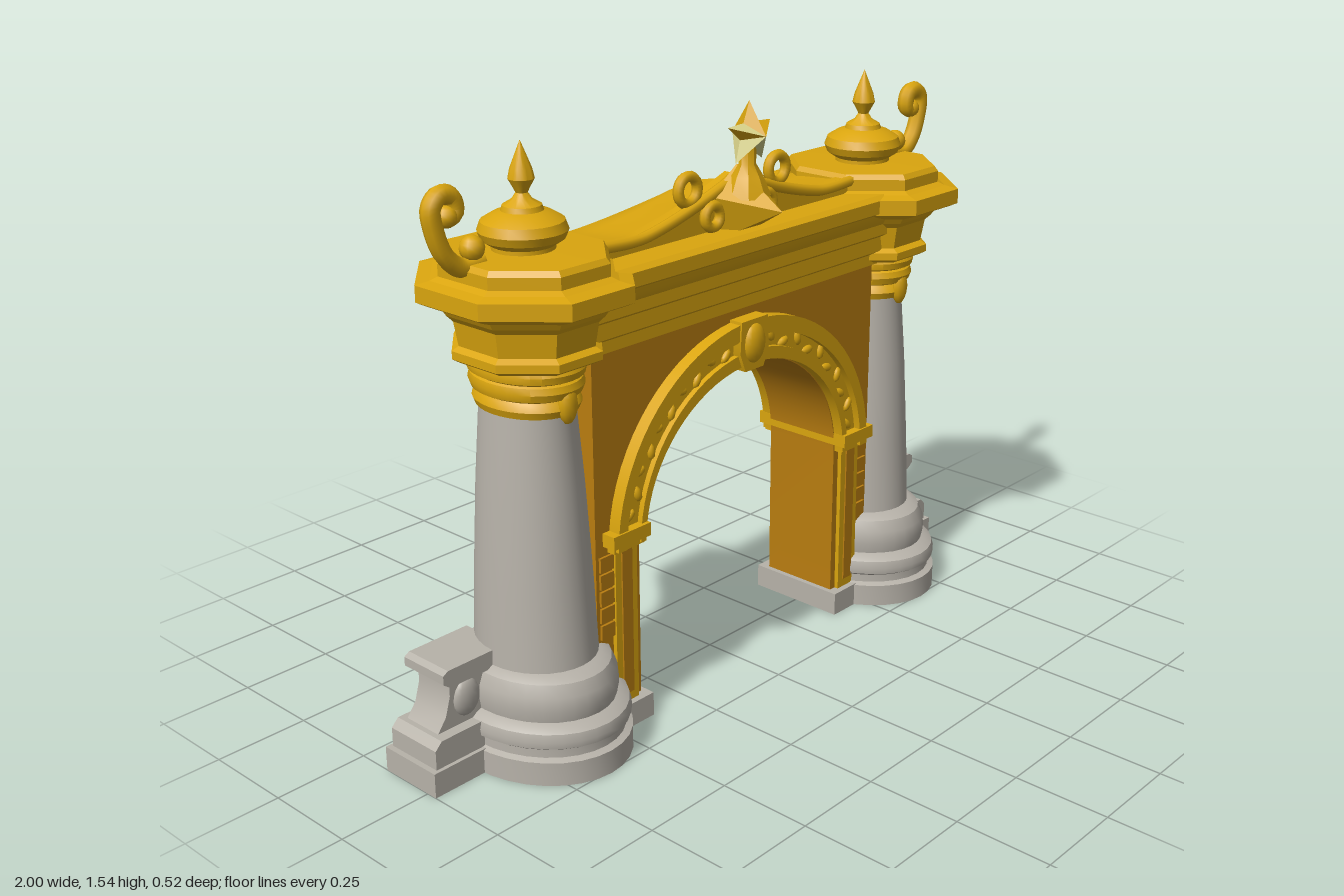
import * as THREE from 'three';
import { toCreasedNormals } from 'three/addons/utils/BufferGeometryUtils.js';

const material = (name, color) => {
  const m = new THREE.MeshStandardMaterial({ color });
  m.name = name;
  return m;
};
const V = (x, y, z = 0) => new THREE.Vector3(x, y, z);

export function createModel() {
  const root = new THREE.Group();
  root.name = 'archGate';
  const gold = material('gold', 0xdaa50e);
  const amber = material('amber', 0xb97d10);
  const stone = material('stone', 0xb7b2a9);
  const pale = material('paleYellow', 0xdcd68c);

  const add = (name, geo, mat, x = 0, y = 0, z = 0) => {
    const mesh = new THREE.Mesh(geo, mat);
    mesh.name = name;
    mesh.position.set(x, y, z);
    root.add(mesh);
    return mesh;
  };
  const box = (name, mat, x0, x1, y0, y1, z0, z1) =>
    add(name, new THREE.BoxGeometry(Math.abs(x1 - x0), y1 - y0, z1 - z0), mat,
      (x0 + x1) / 2, (y0 + y1) / 2, (z0 + z1) / 2);
  const lathe = (pts, seg, squash = 1, crease = 0.6, phi = 0) => {
    const g = new THREE.LatheGeometry(pts.map(p => new THREE.Vector2(...p)), seg, phi);
    g.scale(squash, 1, 1);
    return toCreasedNormals(g, crease);
  };
  // Extrusion centred on z = 0
  const slab = (pts, depth) => {
    const shape = new THREE.Shape(pts.map(p => new THREE.Vector2(...p)));
    const g = new THREE.ExtrudeGeometry(shape, { depth, bevelEnabled: false });
    g.translate(0, 0, -depth / 2);
    return toCreasedNormals(g, 0.5);
  };
  const tube = (pts, r, seg = 30) =>
    new THREE.TubeGeometry(new THREE.CatmullRomCurve3(pts), seg, r, 8, false);

  // Elliptical arch points from right to left, above the springing line
  const SPRING = 0.5;
  const arc = (rx, ry, n = 36) => Array.from({ length: n + 1 }, (_, i) => {
    const a = Math.PI * i / n;
    return [rx * Math.cos(a), SPRING + ry * Math.sin(a)];
  });
  const ring = (ri, ro) => [...arc(ri, ri - 0.03), ...arc(ro, ro - 0.015).reverse()];

  // Wall with arched opening
  add('archWall', slab([[0.39, 0.06], ...arc(0.39, 0.36), [-0.39, 0.06],
    [-0.54, 0.06], [-0.54, 1.04], [0.54, 1.04], [0.54, 0.06]], 0.23), amber);

  // Arch moulding with raised rims, ornament and keystone
  add('archMoulding', slab(ring(0.394, 0.485), 0.26), gold);
  add('archInnerRim', slab(ring(0.393, 0.412), 0.29), gold);
  add('archOuterRim', slab(ring(0.465, 0.495), 0.3), gold);
  const key = [[-0.035, 0.85], [0.035, 0.85], [0.055, 0.9], [0.05, 0.985], [-0.05, 0.985], [-0.055, 0.9]];
  add('keystone', slab(key, 0.31), gold);
  for (const f of [1, -1]) {
    const boss = add('keystoneBoss', new THREE.SphereGeometry(0.045, 14, 10), gold, 0, 0.92, f * 0.15);
    boss.scale.set(0.9, 1.2, 0.5);
    for (let i = 0; i < 22; i++) {
      const a = 0.18 + (Math.PI - 0.36) * i / 21;
      if (Math.abs(a - Math.PI / 2) < 0.15) continue;
      const r = 0.438 + (i % 2 ? 0.009 : -0.009);
      const leaf = add('archLeaf', new THREE.SphereGeometry(0.022, 8, 6), gold,
        r * Math.cos(a), SPRING + (r - 0.022) * Math.sin(a), f * 0.131);
      leaf.scale.set(1, 0.55, 0.45);
      leaf.rotation.z = a + (i % 2 ? 0.7 : 2.2);
    }
  }

  // Entablature running between the columns
  const half = [[0.125, 1.01], [0.125, 1.04], [0.14, 1.05], [0.14, 1.09], [0.155, 1.1], [0.155, 1.13],
    [0.165, 1.145], [0.17, 1.165], [0.187, 1.175], [0.187, 1.21], [0.17, 1.22]];
  const entablature = slab([...half, ...half.map(([z, y]) => [-z, y]).reverse()], 1.1);
  entablature.rotateY(-Math.PI / 2);
  add('entablature', entablature, gold);

  // Curved pediment roof, lofted across x
  const crest = x => 1.25 + 0.1 * Math.pow(Math.max(0, 1 - Math.abs(x) / 0.36), 1.3)
    + 0.012 * Math.pow(Math.abs(x) / 0.5, 4);
  const N = 40, P = 7, pos = [], idx = [];
  for (let i = 0; i <= N; i++) {
    const x = -0.5 + i / N, h = crest(x) - 1.21;
    [[0.09, 0], [0.09, 1], [0.05, 1], [0.03, 0.85], [-0.07, 0.7], [-0.15, 0.4], [-0.185, 0]]
      .forEach(([z, k]) => pos.push(x, 1.21 + h * k, z));
    if (i < N) for (let j = 0; j < P - 1; j++) {
      const a = i * P + j, b = a + P;
      idx.push(a, b, a + 1, b, b + 1, a + 1);
    }
  }
  const roof = new THREE.BufferGeometry();
  roof.setAttribute('position', new THREE.Float32BufferAttribute(pos, 3));
  roof.setIndex(idx);
  add('pedimentRoof', toCreasedNormals(roof, 0.5), gold);
  const rim = Array.from({ length: 21 }, (_, i) => -0.48 + 0.048 * i).map(x => V(x, crest(x) - 0.008, 0.088));
  add('pedimentRim', tube(rim, 0.015, 60), gold);

  // Faceted crest jewel
  const jewel = new THREE.ConeGeometry(0.1, 0.15, 5);
  jewel.rotateX(Math.PI / 2);
  jewel.rotateZ(Math.PI);
  jewel.computeBoundingBox();
  jewel.translate(0, -(jewel.boundingBox.max.y + jewel.boundingBox.min.y) / 2, 0);
  add('crestJewel', toCreasedNormals(jewel, 0.1), gold, 0, 1.285, 0.165);
  add('starStem', lathe([[0.06, 1.3], [0.04, 1.35], [0.022, 1.38], [0.022, 1.44]], 8), gold, 0, 0, 0.125);

  // Thick five-pointed star with alternating facet colours
  const starPos = [], star = new THREE.BufferGeometry();
  const tip = i => {
    const a = Math.PI / 2 + i * Math.PI / 5, r = i % 2 ? 0.036 : 0.083;
    return [r * Math.cos(a), r * Math.sin(a), 0];
  };
  for (let i = 0; i < 10; i++) {
    starPos.push(...tip(i), ...tip(i + 1), 0, 0, 0.055, ...tip(i + 1), ...tip(i), 0, 0, -0.055);
    star.addGroup(i * 6, 6, i % 2);
  }
  star.setAttribute('position', new THREE.Float32BufferAttribute(starPos, 3));
  star.computeVertexNormals();
  add('star', star, [gold, pale], 0, 1.455, 0.13);

  for (const s of [1, -1]) {
    const cx = 0.64 * s, ox = 0.633 * s;

    // Pier footing, jamb pilaster, impost and side blocks
    box('pierFooting', stone, s * 0.375, s * 0.6, 0, 0.065, -0.145, 0.145);
    box('jambPilaster', gold, s * 0.41, s * 0.485, 0.065, 0.52, -0.127, 0.127);
    box('jambPanel', amber, s * 0.43, s * 0.465, 0.09, 0.49, -0.131, 0.131);
    box('impost', gold, s * 0.388, s * 0.515, 0.515, 0.55, -0.155, 0.155);
    box('impostFillet', gold, s * 0.395, s * 0.5, 0.495, 0.515, -0.14, 0.14);
    for (let i = 0; i < 5; i++)
      box('sideBlock', amber, s * 0.485, s * 0.53, 0.265 + i * 0.046, 0.304 + i * 0.046, -0.122, 0.122);

    // Column base, tapered shaft and ringed capital
    add('columnBase', lathe([[0, 0], [0.26, 0], [0.26, 0.062], [0.242, 0.068], [0.242, 0.09], [0.255, 0.098],
      [0.258, 0.115], [0.252, 0.135], [0.235, 0.145], [0.218, 0.15], [0.224, 0.18], [0.22, 0.215],
      [0.205, 0.245], [0.18, 0.258], [0.14, 0.262]], 32, 0.81), stone, cx);
    add('columnShaft', lathe([[0.167, 0.25], [0.157, 0.45], [0.141, 0.7], [0.123, 0.91]], 32, 0.86), stone, cx);
    add('capitalRings', lathe([[0.11, 0.893], [0.138, 0.897], [0.146, 0.915], [0.138, 0.932], [0.134, 0.936],
      [0.148, 0.942], [0.155, 0.96], [0.15, 0.976], [0.143, 0.98], [0.156, 0.986], [0.16, 1.003],
      [0.15, 1.025]], 32, 0.79), gold, cx);
    for (const f of [1, -1]) {
      const drop = add('capitalLeaf', new THREE.SphereGeometry(0.03, 10, 8), gold, cx, 0.925, f * 0.14);
      drop.scale.set(0.9, 1.6, 0.6);
    }

    // Octagonal cap mouldings
    const apothem = 1 / Math.cos(Math.PI / 8);
    add('octagonCap', lathe([[0, 1.01], [0.165, 1.015], [0.182, 1.025], [0.182, 1.045], [0.165, 1.055],
      [0.175, 1.115], [0.19, 1.13], [0.2, 1.145], [0.24, 1.16], [0.26, 1.17], [0.26, 1.21], [0.225, 1.217],
      [0.205, 1.225], [0.205, 1.255], [0.195, 1.268], [0, 1.272]].map(([r, y]) => [r * apothem, y]),
      8, 0.9, 0.1, Math.PI / 8), gold, ox);

    // Onion dome with pointed finial
    add('onionDome', lathe([[0.075, 1.265], [0.075, 1.28], [0.098, 1.295], [0.106, 1.315], [0.098, 1.337],
      [0.07, 1.354], [0.05, 1.36], [0.046, 1.372], [0.024, 1.385], [0.014, 1.4], [0.02, 1.412],
      [0.031, 1.432], [0.026, 1.455], [0.013, 1.488], [0, 1.52]], 24), gold, ox);

    // Corner scroll
    const scroll = [[0.76, 1.265], [0.82, 1.262], [0.865, 1.3], [0.89, 1.36], [0.895, 1.41], [0.87, 1.435],
      [0.838, 1.425], [0.832, 1.39], [0.855, 1.378]];
    add('cornerScroll', tube(scroll.map(([x, y]) => V(s * x, y)), 0.023, 40), gold);
    add('scrollCurl', new THREE.SphereGeometry(0.026, 12, 8), gold, s * 0.853, 1.384, 0);
    add('scrollBud', new THREE.SphereGeometry(0.03, 12, 8), gold, s * 0.785, 1.3, 0);

    // Pediment rings and curls
    add('pedimentRing', new THREE.TorusGeometry(0.034, 0.014, 8, 20), gold, s * 0.168, 1.335, 0.08);
    add('pedimentCurl', new THREE.TorusGeometry(0.028, 0.014, 8, 18), gold, s * 0.1, 1.26, 0.1);

    // Stepped side pedestal
    const mirror = pts => pts.map(([x, y]) => [s * x, y]);
    box('pedestalFooting', stone, s * 0.7, s, 0, 0.065, -0.155, 0.03);
    add('pedestalStep', slab(mirror([[0.7, 0.06], [0.985, 0.06], [0.985, 0.115], [0.965, 0.135], [0.7, 0.135]]),
      0.165), stone, 0, 0, -0.063);
    add('pedestalBody', slab(mirror([[0.7, 0.13], [0.955, 0.13], [0.925, 0.17], [0.91, 0.22], [0.91, 0.26],
      [0.7, 0.26]]), 0.115), stone, 0, 0, -0.068);
    add('pedestalCap', slab(mirror([[0.74, 0.25], [0.915, 0.25], [0.935, 0.265], [0.935, 0.288], [0.92, 0.297],
      [0.74, 0.297]]), 0.145), stone, 0, 0, -0.072);
    const medal = add('pedestalMedallion', new THREE.SphereGeometry(0.045, 14, 10), stone, s * 0.86, 0.2, -0.012);
    medal.scale.set(0.9, 1.1, 0.4);
  }
  return root;
}
